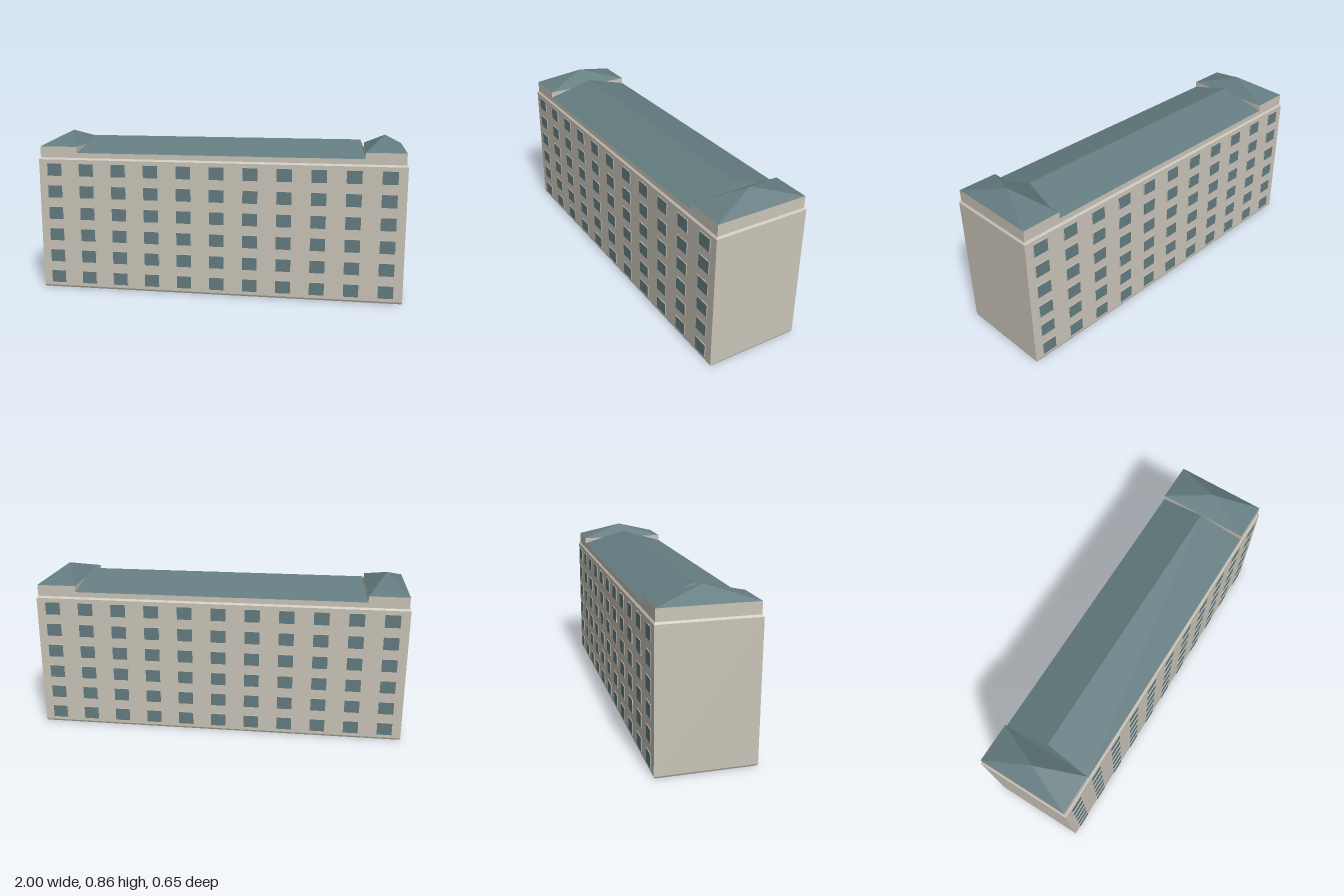
import * as THREE from 'three';

const wall = new THREE.MeshStandardMaterial({ color: 0xcac5b9 });
wall.name = 'stone wall';
const slate = new THREE.MeshStandardMaterial({ color: 0x647c80 });
slate.name = 'blue grey slate';

// Box between y0 and y1 whose top rectangle may differ from its bottom one
function taper(name, mat, [w0, d0], [w1, d1], y0, y1, x = 0) {
  const geo = new THREE.BoxGeometry(1, 1, 1);
  const p = geo.attributes.position;
  for (let i = 0; i < p.count; i++) {
    const top = p.getY(i) > 0;
    p.setXYZ(i, p.getX(i) * (top ? w1 : w0), top ? y1 : y0, p.getZ(i) * (top ? d1 : d0));
  }
  geo.computeVertexNormals();
  const mesh = new THREE.Mesh(geo, mat);
  mesh.name = name;
  mesh.position.x = x;
  return mesh;
}

export function createModel() {
  const model = new THREE.Group();
  model.name = 'apartmentBlock';
  const building = new THREE.Group();
  building.name = 'building';
  building.rotation.y = 0.079; // stands slightly askew
  model.add(building);

  // Walls: bevelled foot, main storeys, ledge and inset parapet
  const full = [1.964, 0.5], inset = [1.948, 0.484];
  building.add(
    taper('foot', wall, [1.954, 0.49], full, 0, 0.01),
    taper('storeys', wall, full, full, 0.01, 0.72),
    taper('ledge', wall, full, inset, 0.72, 0.73),
    taper('parapet', wall, inset, inset, 0.73, 0.757)
  );

  // Hipped main roof
  building.add(taper('mainRoof', slate, [1.534, 0.484], [1.484, 0], 0.757, 0.832));

  // Raised end blocks with pyramid roofs
  for (const side of [-1, 1]) {
    const plan = [0.207, 0.484], x = side * 0.8705;
    building.add(
      taper('endBlock', wall, plan, plan, 0.757, 0.79, x),
      taper('endRoof', slate, plan, [0, 0], 0.79, 0.86, x)
    );
  }

  // Window grid on both long sides: thin surround with a pane on it
  const surround = new THREE.BoxGeometry(0.084, 0.071, 0.004);
  const pane = new THREE.BoxGeometry(0.079, 0.067, 0.002);
  for (const side of [-1, 1]) {
    const facade = new THREE.Group();
    facade.name = side > 0 ? 'frontWindows' : 'backWindows';
    for (let row = 0; row < 6; row++) {
      for (let col = -5; col <= 5; col++) {
        const win = new THREE.Group();
        win.name = 'window';
        const s = new THREE.Mesh(surround, wall);
        s.name = 'surround';
        s.position.z = 0.001;
        const g = new THREE.Mesh(pane, slate);
        g.name = 'pane';
        g.position.z = 0.003;
        win.add(s, g);
        win.position.set(col * 0.179, 0.062 + row * 0.1205, 0.25);
        facade.add(win);
      }
    }
    if (side < 0) facade.rotation.y = Math.PI;
    building.add(facade);
  }
  return model;
}
